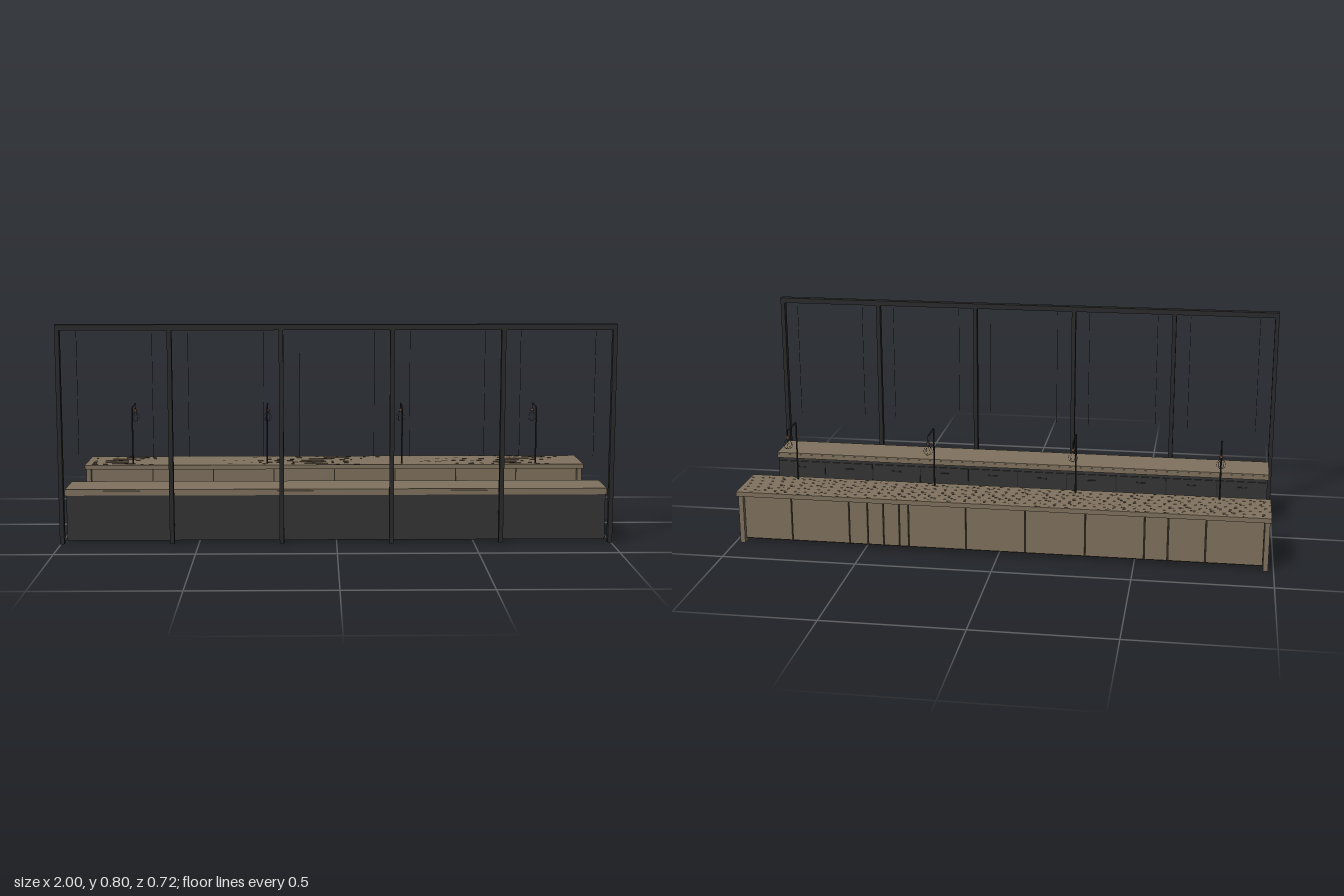
import * as THREE from 'three';

const mat = (name, color) => {
  const m = new THREE.MeshStandardMaterial({ color });
  m.name = name;
  return m;
};

export function createModel() {
  const model = new THREE.Group();
  model.name = 'barCounters';
  const wood = mat('wood', 0x80725e);
  const charcoal = mat('charcoal', 0x343434);
  const steel = mat('blackSteel', 0x29292b);
  const copper = mat('copper', 0x75543f);
  const seam = mat('seam', 0x30291f);

  const group = (name) => {
    const g = new THREE.Group();
    g.name = name;
    model.add(g);
    return g;
  };
  // Box given by its low and high limits on each axis
  const box = (parent, name, m, x0, x1, y0, y1, z0, z1) => {
    const mesh = new THREE.Mesh(new THREE.BoxGeometry(x1 - x0, y1 - y0, z1 - z0), m);
    mesh.position.set((x0 + x1) / 2, (y0 + y1) / 2, (z0 + z1) / 2);
    mesh.name = name;
    parent.add(mesh);
    return mesh;
  };
  const rod = (parent, name, m, r, x, y0, y1, z, sides = 6) => {
    const mesh = new THREE.Mesh(new THREE.CylinderGeometry(r, r, y1 - y0, sides), m);
    mesh.position.set(x, (y0 + y1) / 2, z);
    mesh.name = name;
    parent.add(mesh);
  };

  // Tall frame: six posts, top beam and two hanging wires in every bay
  const frame = group('frame');
  box(frame, 'topBeam', steel, -1, 1, 0.78, 0.8, 0.334, 0.362);
  const pitch = 0.3968;
  for (let i = 0; i < 6; i++) {
    const x = (i - 2.5) * pitch;
    box(frame, 'post', steel, x - 0.008, x + 0.008, 0.006, 0.78, 0.336, 0.36);
    for (const s of [-1, 1]) {
      const wx = x + s * 0.064;
      if (Math.abs(wx) < 0.99) rod(frame, 'hangingWire', steel, 0.0008, wx, 0.32, 0.775, 0.331);
    }
  }

  // Front counter with a wooden top
  const front = group('frontCounter');
  box(front, 'cabinet', charcoal, -0.98, 0.98, 0.01, 0.178, 0.16, 0.317);
  box(front, 'worktop', wood, -0.985, 0.985, 0.177, 0.193, 0.154, 0.321);
  box(front, 'worktopUpper', wood, -0.985, 0.985, 0.193, 0.199, 0.155, 0.319);
  // Ten doors and pulls on the working side
  for (let i = 0; i < 10; i++) {
    const x = (i - 4.5) * 0.1965;
    box(front, 'door', charcoal, x - 0.096, x + 0.096, 0.03, 0.165, 0.1555, 0.16);
    box(front, 'doorHandle', steel, x - 0.018, x + 0.018, 0.139, 0.144, 0.15, 0.1535);
    for (const s of [-1, 1]) {
      box(front, 'handleStub', steel, x + s * 0.015 - 0.002, x + s * 0.015 + 0.002, 0.139, 0.144, 0.1535, 0.156);
    }
  }
  box(front, 'doorSeams', steel, -0.978, 0.978, 0.03, 0.165, 0.159, 0.1605);

  // Back counter: dark carcass, end panels and facing panels
  const back = group('backCounter');
  box(back, 'carcass', seam, -0.965, 0.965, 0.014, 0.189, -0.332, -0.178);
  for (const s of [-1, 1]) {
    box(back, 'endPanel', wood, s * 0.971 - 0.009, s * 0.971 + 0.009, 0.002, 0.19, -0.351, -0.159);
  }
  const facing = (edges, z0, z1) => {
    for (let i = 0; i < edges.length - 1; i++) {
      box(back, 'facingPanel', wood, edges[i] + 0.002, edges[i + 1] - 0.002, 0.018, 0.188, z0, z1);
    }
  };
  facing([-0.962, -0.755, -0.62, -0.535, -0.32, -0.1, 0.12, 0.335, 0.37, 0.43, 0.49, 0.56, 0.78, 0.962], -0.338, -0.332);
  facing([-0.962, -0.72, -0.48, -0.24, 0, 0.24, 0.48, 0.72, 0.962], -0.178, -0.172);

  // Plank top with narrow gaps and short grain marks
  let seed = 7;
  const rand = () => (seed = (seed * 16807) % 2147483647) / 2147483647;
  box(back, 'plankGaps', seam, -0.982, 0.982, 0.189, 0.202, -0.357, -0.153);
  const marks = [];
  for (let i = 0; i < 6; i++) {
    const z = -0.15 - (i + 0.5) * 0.035;
    box(back, 'plank', wood, -0.985, 0.985, 0.188, 0.2055, z - 0.0168, z + 0.0168);
    for (const dz of [-0.008, 0.007]) {
      for (let x = -0.96; x < 0.94; x += 0.03 + rand() * 0.05) {
        if (rand() < 0.7) marks.push([x, z + dz, 0.008 + rand() * 0.016]);
      }
    }
  }
  const grain = new THREE.InstancedMesh(new THREE.BoxGeometry(1, 0.0006, 0.0022), seam, 0);
  grain.geometry.dispose();
  for (const [x, z, len] of marks) {
    box(back, 'grainMark', seam, x, x + len, 0.2053, 0.2059, z - 0.0011, z + 0.0011);
  }

  // Four bent-pole lamps, each with a wire bulb
  const v = (x, y, z) => new THREE.Vector3(x, y, z);
  const pole = new THREE.CurvePath();
  pole.add(new THREE.LineCurve3(v(0, 0.2, -0.18), v(0, 0.424, -0.18)));
  pole.add(new THREE.QuadraticBezierCurve3(v(0, 0.424, -0.18), v(0, 0.432, -0.18), v(0, 0.432, -0.188)));
  pole.add(new THREE.LineCurve3(v(0, 0.432, -0.188), v(0, 0.432, -0.288)));
  const poleGeo = new THREE.TubeGeometry(pole, 60, 0.003, 8);
  const bulbProfile = [[0.004, 0.402], [0.007, 0.394], [0.014, 0.384], [0.0165, 0.376], [0.013, 0.366], [0.007, 0.362], [0, 0.361]];
  const wireGeo = new THREE.TubeGeometry(
    new THREE.CatmullRomCurve3(bulbProfile.map(([r, y]) => v(r, y, 0))), 18, 0.0005, 4);
  for (const x of [-0.798, -0.267, 0.267, 0.798]) {
    const lamp = group('lamp');
    lamp.position.x = x;
    const p = new THREE.Mesh(poleGeo, steel);
    p.name = 'lampPole';
    lamp.add(p);
    rod(lamp, 'lampCord', steel, 0.0014, 0, 0.408, 0.434, -0.288);
    rod(lamp, 'lampSocket', copper, 0.006, 0, 0.401, 0.41, -0.288, 12);
    for (let i = 0; i < 6; i++) {
      const w = new THREE.Mesh(wireGeo, steel);
      w.position.z = -0.288;
      w.rotation.y = (i * Math.PI) / 3;
      w.name = 'bulbWire';
      lamp.add(w);
    }
  }
  return model;
}
